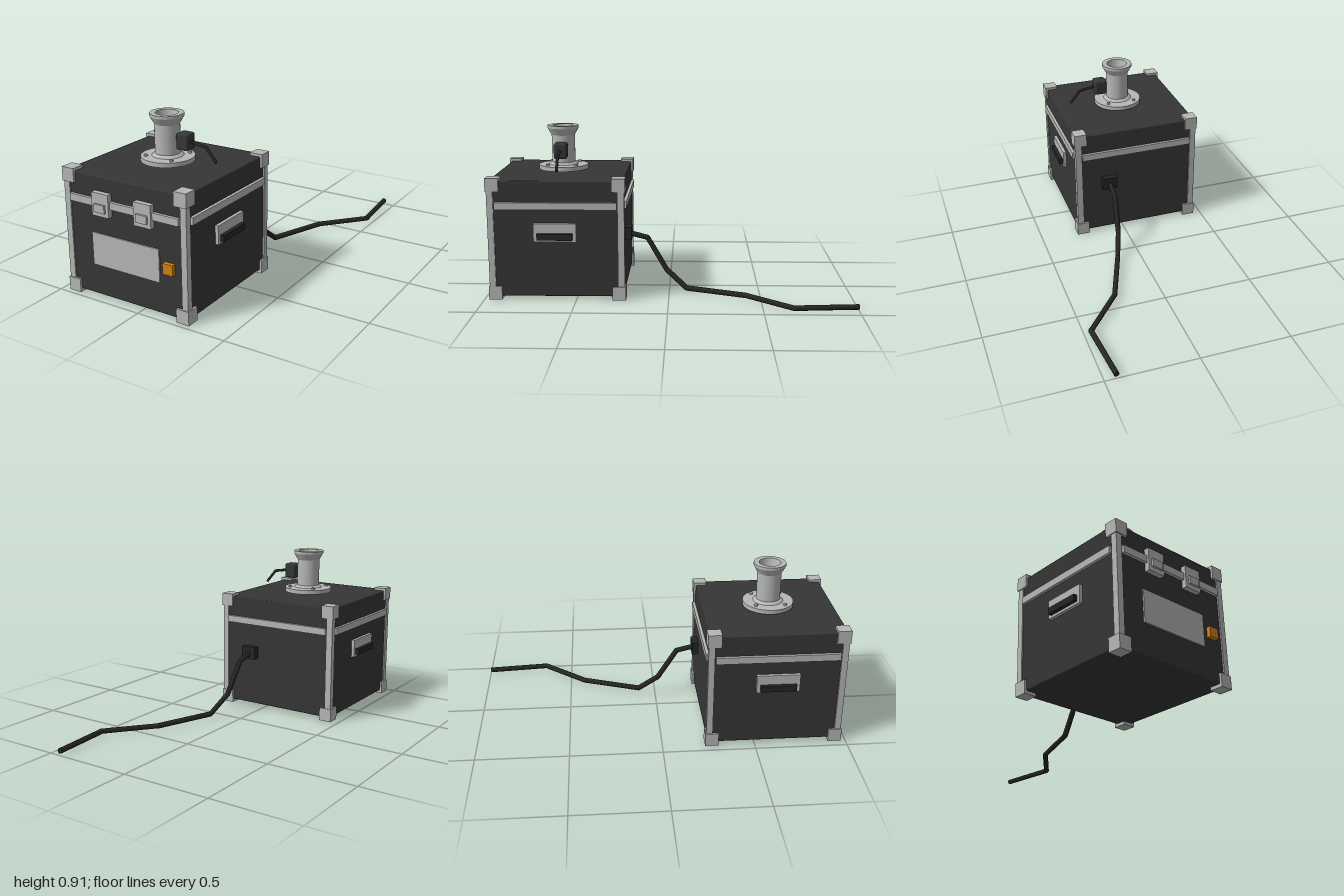
import * as THREE from 'three';
import { RoundedBoxGeometry } from 'three/addons/geometries/RoundedBoxGeometry.js';

export function createModel() {
  const model = new THREE.Group();
  const mat = (name, color) => {
    const m = new THREE.MeshStandardMaterial({ color });
    m.name = name;
    return m;
  };
  const shell = mat('charcoal shell', 0x363636);
  const metal = mat('light grey metal', 0xb6b8b6);
  const rubber = mat('black rubber', 0x262626);
  const orange = mat('orange', 0xd4820f);

  const add = (name, geometry, material, x = 0, y = 0, z = 0, parent = model) => {
    const m = new THREE.Mesh(geometry, material);
    m.name = name;
    m.position.set(x, y, z);
    parent.add(m);
    return m;
  };
  const box = (w, h, d) => new THREE.BoxGeometry(w, h, d);

  // Case, built around its own centre line
  const CX = -0.086, CZ = 0.603;
  const caseGroup = new THREE.Group();
  caseGroup.name = 'case';
  caseGroup.position.set(CX, 0, CZ);
  model.add(caseGroup);
  add('caseBody', new RoundedBoxGeometry(0.72, 0.636, 0.72, 2, 0.008), shell, 0, 0.335, 0, caseGroup);

  // Corner blocks and upright edge bars
  for (const sx of [-1, 1]) for (const sz of [-1, 1]) {
    for (const y of [0.0365, 0.631])
      add('cornerBlock', box(0.072, 0.073, 0.072), metal, sx * 0.336, y, sz * 0.336, caseGroup);
    add('edgeBar', box(0.034, 0.55, 0.034), metal, sx * 0.35, 0.334, sz * 0.35, caseGroup);
  }

  // Lid trim on all four sides
  for (let i = 0; i < 4; i++) {
    const side = new THREE.Group();
    side.name = 'trimSide';
    side.rotation.y = i * Math.PI / 2;
    caseGroup.add(side);
    add('lidTrim', box(0.654, 0.038, 0.025), metal, 0, 0.519, 0.3635, side);
  }

  // Side handles
  for (const s of [-1, 1]) {
    add('handlePlate', box(0.025, 0.1, 0.23), metal, s * 0.365, 0.375, 0.005, caseGroup);
    add('handleGrip', box(0.03, 0.034, 0.19), rubber, s * 0.383, 0.355, 0.005, caseGroup);
  }

  // Front latches
  for (const x of [-0.213, 0.041]) {
    add('latchPlate', box(0.102, 0.12, 0.035), metal, x, 0.517, 0.972);
    add('latchTab', box(0.065, 0.042, 0.012), metal, x, 0.501, 0.994);
  }

  // Front label plate and switch
  add('labelPlate', box(0.408, 0.173, 0.009), metal, -0.086, 0.268, 0.966);
  add('switchButton', box(0.058, 0.056, 0.025), orange, 0.177, 0.27, 0.9725);

  // Flanged spout with a closed bore
  const spout = [
    [0, 0.664], [0.138, 0.664], [0.138, 0.688], [0.082, 0.69], [0.074, 0.698], [0.065, 0.703],
    [0.065, 0.855], [0.087, 0.894], [0.087, 0.909], [0.058, 0.909], [0.05, 0.87], [0.05, 0.71], [0, 0.71],
  ];
  // Each profile segment is its own lathe, keeping its edges crisp
  const spoutGroup = new THREE.Group();
  spoutGroup.name = 'spout';
  spoutGroup.position.set(CX, 0, CZ);
  model.add(spoutGroup);
  for (let i = 1; i < spout.length; i++) {
    const pair = [spout[i - 1], spout[i]].map(([r, y]) => new THREE.Vector2(r, y));
    add('spoutSection', new THREE.LatheGeometry(pair, 40), metal, 0, 0, 0, spoutGroup);
  }
  for (let i = 0; i < 4; i++) {
    const a = Math.PI / 4 + i * Math.PI / 2;
    add('flangeBolt', new THREE.CylinderGeometry(0.01, 0.01, 0.012, 6), metal,
      Math.cos(a) * 0.112, 0.693, Math.sin(a) * 0.112, spoutGroup);
  }

  // Sensor housing beside the spout
  add('sensorHousing', new RoundedBoxGeometry(0.072, 0.086, 0.072, 3, 0.012), shell, 0.024, 0.779, CZ);

  // Kinked cables: straight cylinders with ball joints
  const cable = (name, r, path) => {
    const g = new THREE.Group();
    g.name = name;
    model.add(g);
    const pts = path.map((p) => new THREE.Vector3(...p));
    for (let i = 1; i < pts.length; i++) {
      const dir = pts[i].clone().sub(pts[i - 1]);
      const mid = pts[i].clone().add(pts[i - 1]).multiplyScalar(0.5);
      const seg = add('cableSegment', new THREE.CylinderGeometry(r, r, dir.length(), 8), rubber, mid.x, mid.y, mid.z, g);
      seg.quaternion.setFromUnitVectors(new THREE.Vector3(0, 1, 0), dir.normalize());
      if (i < pts.length - 1)
        add('cableJoint', new THREE.SphereGeometry(r, 8, 6), rubber, pts[i].x, pts[i].y, pts[i].z, g);
    }
  };
  cable('sensorCable', 0.008, [[0.05, 0.78, CZ], [0.147, 0.764, CZ], [0.205, 0.694, CZ]]);

  // Power inlet and mains cable trailing behind
  add('powerInlet', box(0.088, 0.072, 0.045), rubber, 0.085, 0.333, 0.23);
  cable('powerCable', 0.0148, [
    [0.085, 0.333, 0.24], [0.086, 0.303, 0.122], [0.102, 0.123, 0.015], [0.142, 0.028, -0.097],
    [0.262, 0.026, -0.418], [0.465, 0.024, -0.656], [0.436, 0.024, -0.998],
  ]);

  return model;
}
